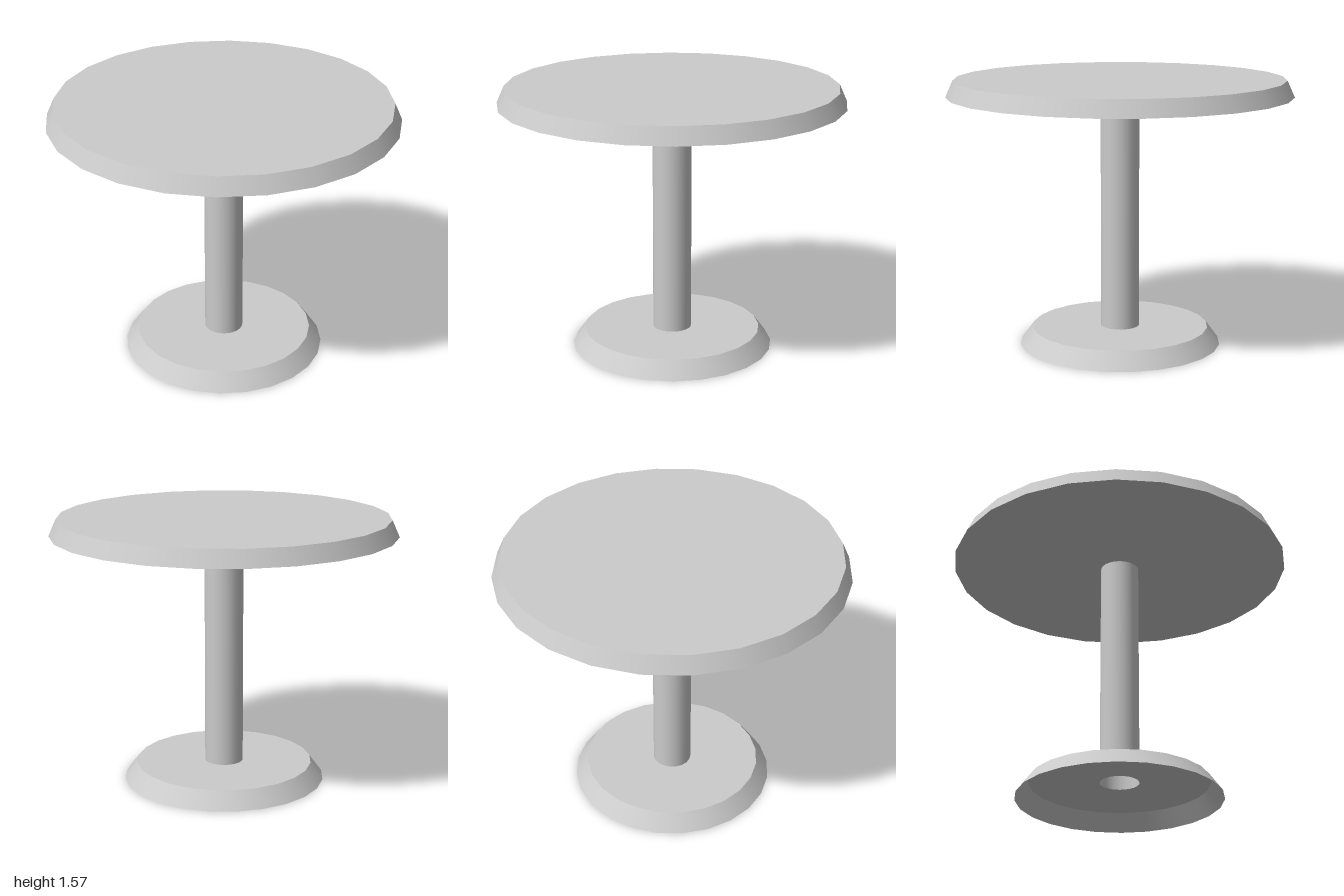
import * as THREE from 'three';
import { mergeGeometries } from 'three/addons/utils/BufferGeometryUtils.js';

const SIDES = 24;
const COLUMN_R = 0.113;
const BASE_TOP = 0.1;
const TOP_UNDER = 1.475;
const TOP_Y = 1.57;

const material = new THREE.MeshStandardMaterial({ color: 0xcccccc, side: THREE.DoubleSide });

// Revolves a profile of [radius, y] points, one strip per segment so that
// the sides are smooth around while the rims between strips stay sharp.
function turned(name, profile) {
  const strips = [];
  for (let i = 0; i < profile.length - 1; i++) {
    const pair = [profile[i], profile[i + 1]].map(([r, y]) => new THREE.Vector2(r, y));
    strips.push(new THREE.LatheGeometry(pair, SIDES));
  }
  const mesh = new THREE.Mesh(mergeGeometries(strips), material);
  mesh.name = name;
  return mesh;
}

export function createModel() {
  const table = new THREE.Group();
  table.name = 'pedestalTable';

  // Hollow foot: sloping wall and top plate, open below, with a hole under the column
  table.add(turned('base', [[0.593, 0], [0.52, BASE_TOP], [COLUMN_R, BASE_TOP]]));

  // Hollow column between foot and tabletop
  table.add(turned('column', [[COLUMN_R, BASE_TOP], [COLUMN_R, TOP_UNDER]]));

  // Tabletop: closed underside, bevelled edge, flat upper face
  table.add(turned('tabletop', [[0, TOP_UNDER], [1, TOP_UNDER], [0.957, TOP_Y], [0, TOP_Y]]));

  return table;
}
